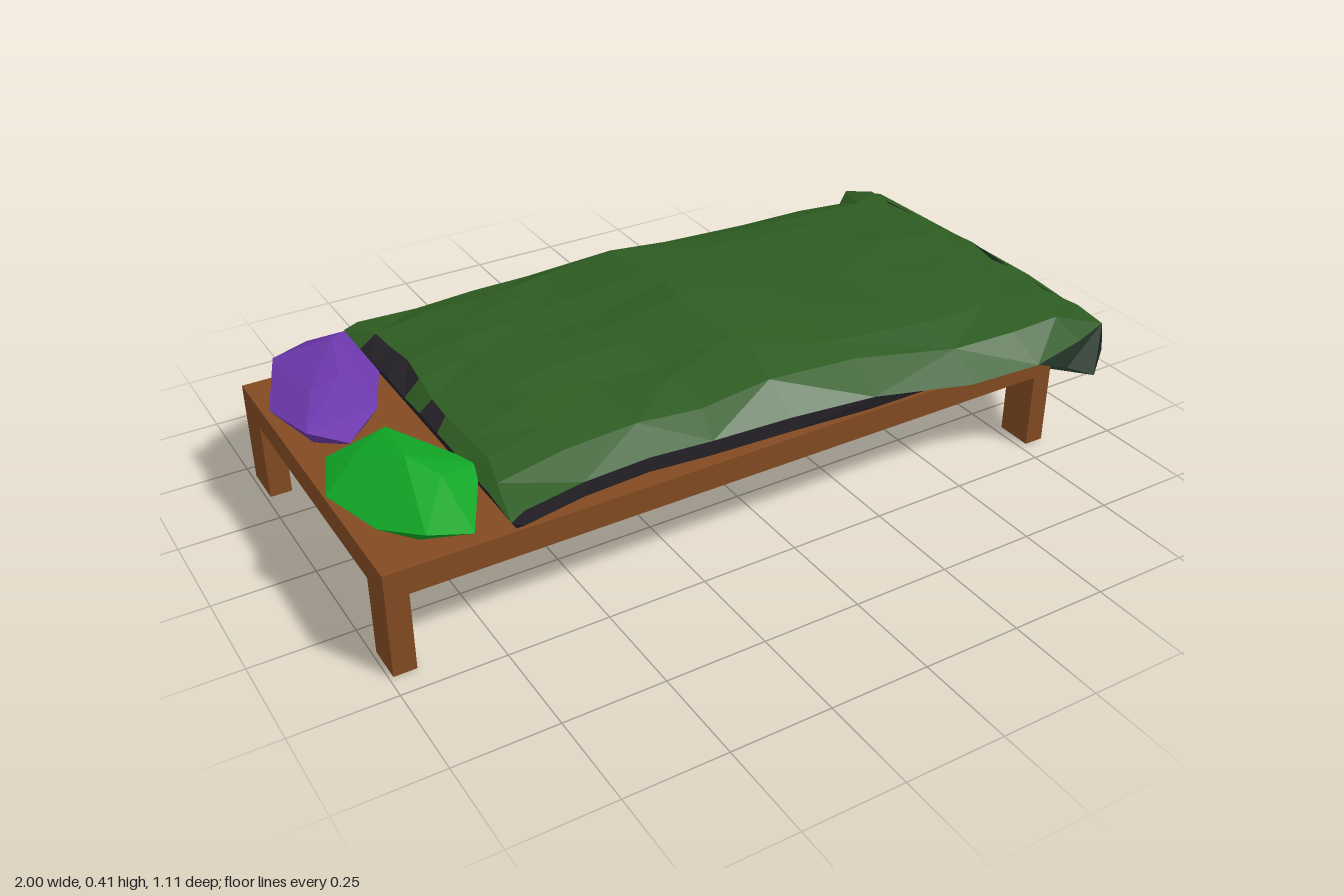
import * as THREE from 'three';
import { ConvexGeometry } from 'three/addons/geometries/ConvexGeometry.js';

const paint = (name, color, side = THREE.FrontSide) => {
  const m = new THREE.MeshStandardMaterial({ color, flatShading: true, side });
  m.name = name;
  return m;
};

export function createModel() {
  const wood = paint('brown wood', 0x834b22);
  const purple = paint('purple', 0x6c38ac);
  const bright = paint('bright green', 0x10a626);
  const green = paint('blanket green', 0x2e5c22, THREE.DoubleSide);
  const dark = paint('dark green', 0x24372a, THREE.DoubleSide);
  const charcoal = paint('charcoal', 0x252228, THREE.DoubleSide);
  const cloth = [green, dark, charcoal];

  const model = new THREE.Group();
  model.name = 'bed';

  const box = (name, x0, x1, y0, y1, z0, z1) => {
    const mesh = new THREE.Mesh(new THREE.BoxGeometry(x1 - x0, y1 - y0, z1 - z0), wood);
    mesh.position.set((x0 + x1) / 2, (y0 + y1) / 2, (z0 + z1) / 2);
    mesh.name = name;
    model.add(mesh);
  };

  // Bed frame and four legs
  box('platform', -0.99, 0.825, 0.2, 0.265, -0.457, 0.438);
  for (const [x0, x1] of [[-0.99, -0.935], [0.773, 0.825]]) {
    box('backLeg', x0, x1, 0, 0.2, -0.457, -0.347);
    box('frontLeg', x0, x1, 0, 0.2, 0.342, 0.438);
  }

  // Faceted pillows: a convex hull around an outline, a crown and a base
  const pillow = (name, material, outline, rim, crown) => {
    const points = [];
    const cx = outline.reduce((s, p) => s + p[0], 0) / outline.length;
    const cz = outline.reduce((s, p) => s + p[1], 0) / outline.length;
    outline.forEach(([x, z], i) => {
      points.push(new THREE.Vector3(x, rim + (i % 2 ? 0.012 : -0.008), z));
      points.push(new THREE.Vector3(cx + (x - cx) * 0.75, 0.266, cz + (z - cz) * 0.75));
    });
    for (const p of crown) points.push(new THREE.Vector3(...p));
    const mesh = new THREE.Mesh(new ConvexGeometry(points), material);
    mesh.name = name;
    model.add(mesh);
  };
  pillow('purplePillow', purple,
    [[-0.8, -0.515], [-0.71, -0.48], [-0.7, -0.28], [-0.78, -0.09], [-0.88, -0.01], [-0.96, -0.07], [-0.99, -0.24], [-0.91, -0.44]],
    0.315, [[-0.82, 0.36, -0.22], [-0.77, 0.365, -0.4], [-0.9, 0.35, -0.2]]);
  pillow('greenPillow', bright,
    [[-0.998, 0.15], [-0.95, 0.03], [-0.88, -0.01], [-0.79, -0.02], [-0.75, 0.05], [-0.67, 0.23], [-0.78, 0.44], [-0.88, 0.42], [-0.95, 0.32]],
    0.305, [[-0.83, 0.375, 0.2], [-0.9, 0.355, 0.1], [-0.78, 0.352, 0.28]]);

  // Cloth sheet through rows of points, each cell coloured by a rule
  const sheet = (name, rows, rule) => {
    const faces = [[], [], []];
    for (let i = 0; i < rows.length - 1; i++) {
      for (let j = 0; j < rows[i].length - 1; j++) {
        const a = rows[i][j], b = rows[i + 1][j], c = rows[i][j + 1], d = rows[i + 1][j + 1];
        const tris = (i + j) % 2 ? [a, c, b, c, d, b] : [a, c, d, a, d, b];
        faces[rule(i, j)].push(...tris);
      }
    }
    const geometry = new THREE.BufferGeometry().setFromPoints(faces.flat());
    let start = 0;
    faces.forEach((f, k) => {
      if (f.length) geometry.addGroup(start, f.length, k);
      start += f.length;
    });
    geometry.computeVertexNormals();
    const mesh = new THREE.Mesh(geometry, cloth);
    mesh.name = name;
    model.add(mesh);
  };

  let seed = 7;
  const jitter = (size) => {
    seed = (seed * 16807) % 2147483647;
    return (seed / 2147483647 - 0.5) * size;
  };

  // Blanket stations: x, back z, back y, front z, front y, crown height
  const stations = [
    [-0.7, -0.515, 0.31, 0.45, 0.3, 0.315],
    [-0.66, -0.52, 0.32, 0.43, 0.305, 0.345],
    [-0.5, -0.52, 0.315, 0.4, 0.305, 0.364],
    [-0.33, -0.535, 0.315, 0.39, 0.305, 0.366],
    [-0.17, -0.545, 0.31, 0.405, 0.305, 0.37],
    [0.04, -0.55, 0.31, 0.415, 0.305, 0.4],
    [0.26, -0.535, 0.31, 0.44, 0.305, 0.38],
    [0.5, -0.515, 0.31, 0.51, 0.3, 0.385],
    [0.7, -0.51, 0.31, 0.52, 0.3, 0.378],
    [0.83, -0.49, 0.31, 0.52, 0.33, 0.37],
    [0.9, -0.555, 0.31, 0.52, 0.36, 0.362],
  ];
  const columns = 10;
  const rows = stations.map(([x, z0, y0, z1, y1, crown], i) => {
    const row = [];
    for (let j = 0; j <= columns; j++) {
      const t = j / columns;
      const inner = j > 0 && j < columns;
      const edge = y0 + (y1 - y0) * t;
      const lift = Math.pow(4 * t * (1 - t), 0.45);
      row.push(new THREE.Vector3(
        x + (inner && i ? jitter(0.04) : 0),
        edge + (crown - edge) * lift + (inner ? jitter(0.012) : 0),
        z0 + (z1 - z0) * t + (inner ? jitter(0.03) : 0)));
    }
    return row;
  });
  // Dark creases near the pillows
  const crease = (i, j) => (i === 0 && ((j > 0 && j < 4) || j === 5) ? 2 : 0);
  sheet('blanket', rows, crease);

  // Lining that tucks from each blanket edge down to the platform
  const tuck = (p) => new THREE.Vector3(Math.max(p.x, -0.68), 0.267, THREE.MathUtils.clamp(p.z, -0.45, 0.43));
  const rim = (name, edge) => sheet(name, [edge, edge.map(tuck)], () => 2);
  rim('backLining', rows.slice(0, 10).map((r) => r[0]));
  rim('frontLining', rows.slice(0, 10).map((r) => r[columns]));
  rim('headLining', rows[0]);

  // End of the blanket hanging over the foot of the bed
  const drape = [
    [[0.9, 0.31, -0.555], [0.94, 0.335, -0.44], [0.94, 0.34, -0.25], [0.935, 0.35, 0], [0.945, 0.345, 0.2], [0.93, 0.345, 0.36], [0.9, 0.36, 0.52]],
    [[0.88, 0.285, -0.51], [0.955, 0.25, -0.42], [0.98, 0.24, -0.24], [0.955, 0.25, 0], [0.998, 0.21, 0.24], [0.965, 0.24, 0.38], [0.89, 0.3, 0.54]],
    [[0.87, 0.24, -0.555], [0.89, 0.155, -0.42], [0.958, 0.03, -0.22], [0.945, 0.16, 0], [0.97, 0.145, 0.2], [0.9, 0.135, 0.32], [0.86, 0.24, 0.555]],
  ].map((r) => r.map((p) => new THREE.Vector3(...p)));
  const foot = rows[rows.length - 1];
  const shoulder = drape[0].map((p, j) => {
    const t = (j / 6) * columns, k = Math.min(Math.floor(t), columns - 1);
    return foot[k].clone().lerp(foot[k + 1], t - k);
  });
  sheet('blanketShoulder', [shoulder, drape[0]], () => 0);
  sheet('hangingEnd', drape, (i, j) => (i === 1 && j === 0 ? 2 : i === 0 && j === 4 ? 0 : 1));

  // Return folds joining the hanging corners to the sides
  const fold = (name, side, corner) => sheet(name,
    [[rows[8][side], rows[9][side], rows[10][side]],
      [tuck(rows[8][side]), new THREE.Vector3(0.8, 0.262, rows[9][side].z), drape[2][corner]]], () => 1);
  fold('backCornerFold', 0, 0);
  fold('frontCornerFold', columns, 6);

  return model;
}
